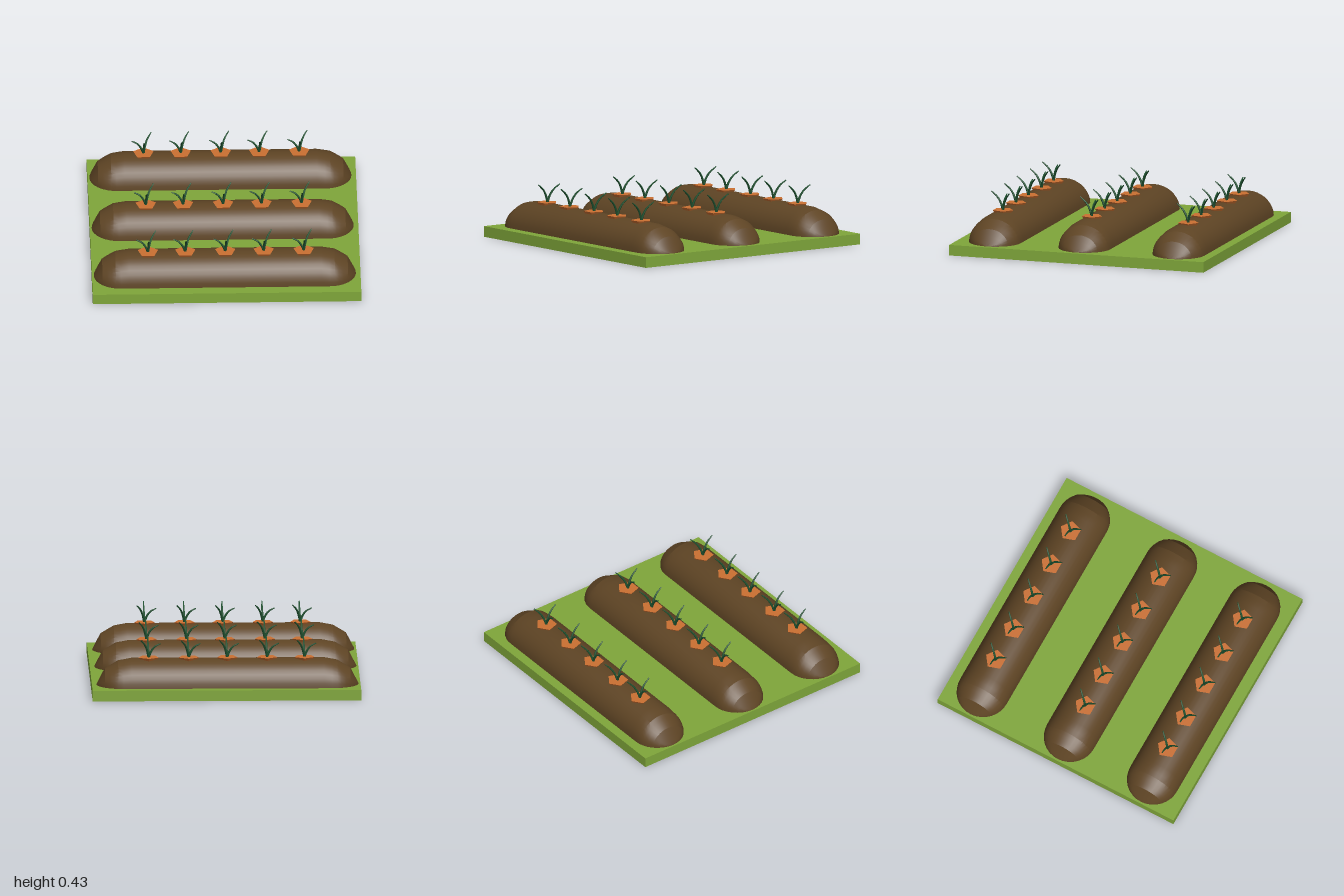
import * as THREE from 'three';
import { toCreasedNormals } from 'three/addons/utils/BufferGeometryUtils.js';

const mat = (color, extra = {}) => new THREE.MeshStandardMaterial({ color, ...extra });
const GRASS = mat(0x7fa63a);
const SOIL = mat(0x5e4424);
const ORANGE = mat(0xcb7032, { flatShading: true });
const LEAF = mat(0x1f5230);

const GROUND_TOP = 0.08;

// Ridge height by distance from the mound's tip
const RIDGE = [[0, 0], [0.062, 0.12], [0.16, 0.178], [0.26, 0.197], [9, 0.197]];
function ridgeHeight(d) {
  const k = RIDGE.findIndex((p) => p[0] >= d);
  if (k < 1) return 0;
  const [d0, h0] = RIDGE[k - 1], [d1, h1] = RIDGE[k];
  return h0 + (h1 - h0) * (d - d0) / (d1 - d0);
}

// Long mound: half-ellipse sections, rounded in plan at both ends
function moundGeometry(halfLength, radius, across = 18) {
  const steps = [0, 0.004, 0.015, 0.035, 0.062, 0.095, 0.13, 0.16, 0.2, 0.26];
  const stations = [
    ...steps.map((d) => [-halfLength + d, d]),
    ...[...steps].reverse().map((d) => [halfLength - d, d]),
  ];
  const pos = [], index = [];
  stations.forEach(([x, d], i) => {
    const inset = Math.max(radius - d, 0);
    const w = Math.sqrt(radius * radius - inset * inset);
    const h = ridgeHeight(d);
    for (let j = 0; j <= across; j++) {
      const a = Math.PI * j / across;
      pos.push(x, h * Math.sin(a), w * Math.cos(a));
      if (i < stations.length - 1 && j < across) {
        const p = i * (across + 1) + j, q = p + across + 1;
        index.push(p, q, p + 1, q, q + 1, p + 1);
      }
    }
  });
  const g = new THREE.BufferGeometry();
  g.setAttribute('position', new THREE.Float32BufferAttribute(pos, 3));
  g.setIndex(index);
  return toCreasedNormals(g, 0.3);
}

// Slender blade: a curved tube narrowed towards its tip
function bladeGeometry(points) {
  const curve = new THREE.CatmullRomCurve3(points.map((p) => new THREE.Vector3(...p)));
  const rings = 7, sides = 5;
  const g = new THREE.TubeGeometry(curve, rings, 0.009, sides, false);
  const p = g.attributes.position, v = new THREE.Vector3();
  for (let i = 0; i < p.count; i++) {
    const t = Math.floor(i / (sides + 1)) / rings;
    const c = curve.getPointAt(t);
    v.fromBufferAttribute(p, i).sub(c).multiplyScalar(1 - 0.55 * t * t).add(c);
    p.setXYZ(i, v.x, v.y, v.z);
  }
  g.computeVertexNormals();
  return g;
}

function add(parent, name, geometry, material, x = 0, y = 0, z = 0) {
  const m = new THREE.Mesh(geometry, material);
  m.name = name;
  m.position.set(x, y, z);
  parent.add(m);
  return m;
}

export function createModel() {
  const model = new THREE.Group();
  model.name = 'vegetablePatch';

  // Grass slab
  add(model, 'grassBase', new THREE.BoxGeometry(2, GROUND_TOP, 2), GRASS, 0, GROUND_TOP / 2, 0);

  // Shared shapes
  const mound = moundGeometry(0.976, 0.198);
  const root = new THREE.CylinderGeometry(0.08, 0.045, 0.045, 5).rotateY(Math.PI);
  const blades = [
    [[0, 0, 0], [-0.012, 0.035, 0], [-0.042, 0.08, 0], [-0.088, 0.106, 0]],
    [[0, 0, 0], [0.002, 0.05, 0.014], [0.004, 0.1, 0.042], [0.005, 0.142, 0.09]],
    [[0, 0, 0], [0.01, 0.05, -0.012], [0.028, 0.1, -0.036], [0.06, 0.142, -0.072]],
  ].map(bladeGeometry);

  // Three rows of five carrots
  const rows = [[-0.73, -0.737], [0.01, 0.023], [0.715, 0.722]];
  for (const [moundZ, carrotZ] of rows) {
    const row = new THREE.Group();
    row.name = 'plantedRow';
    model.add(row);
    add(row, 'soilMound', mound, SOIL, -0.01, GROUND_TOP, moundZ);
    for (const x of [-0.583, -0.305, -0.007, 0.279, 0.577]) {
      const carrot = new THREE.Group();
      carrot.name = 'carrot';
      carrot.position.set(x, 0.285, carrotZ);
      row.add(carrot);
      add(carrot, 'carrotRoot', root, ORANGE, 0, -0.0215, 0);
      blades.forEach((b) => add(carrot, 'carrotLeaf', b, LEAF, 0, -0.003, 0));
    }
  }
  return model;
}
